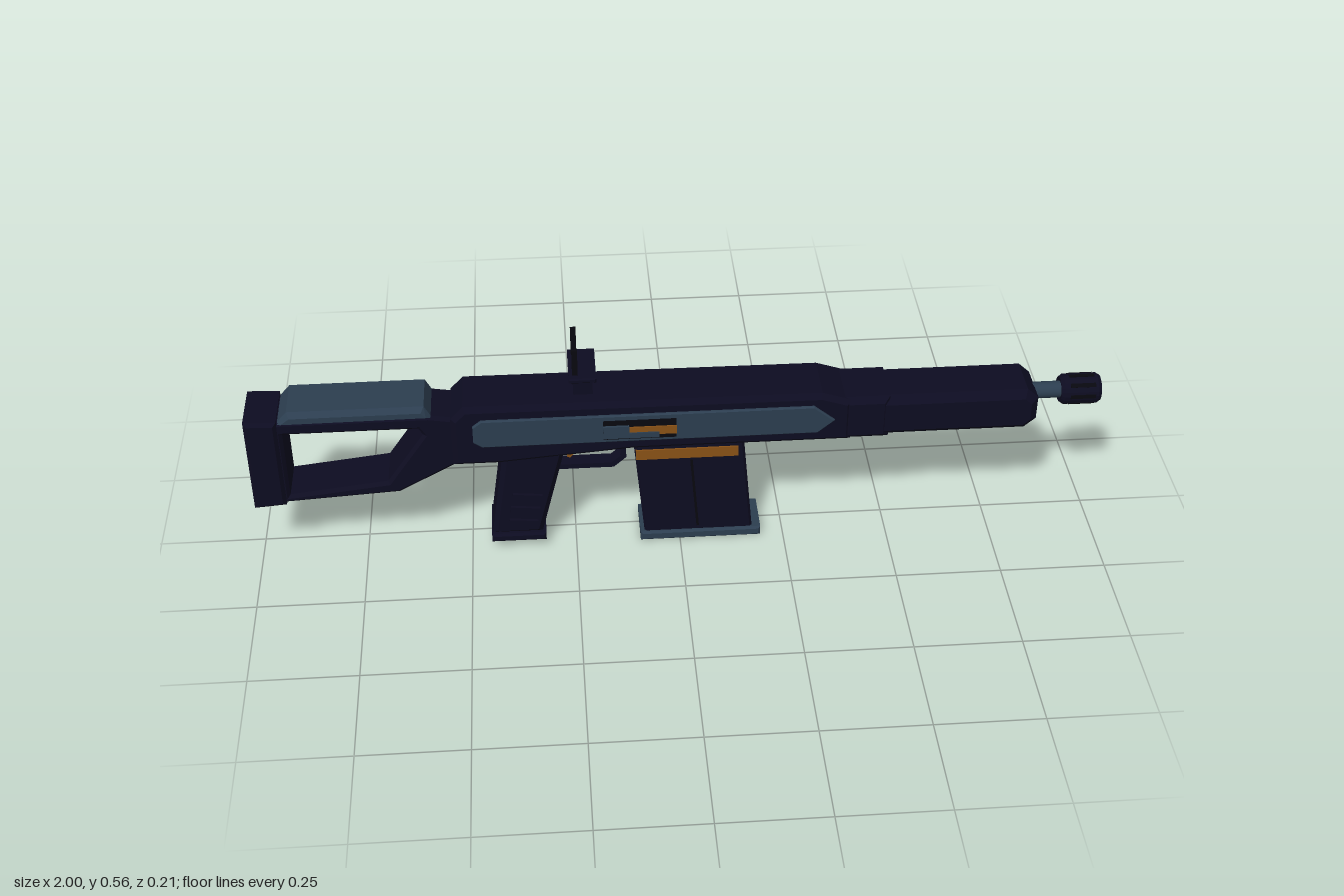
import * as THREE from 'three';

const mat = (name, color) => {
  const m = new THREE.MeshStandardMaterial({ color });
  m.name = name;
  return m;
};

export function createModel() {
  const navy = mat('darkNavy', 0x0d0c21);
  const slate = mat('slate', 0x2c3e50);
  const orange = mat('orange', 0x8a5216);
  const black = mat('black', 0x08080f);

  const root = new THREE.Group();
  root.name = 'rifle';
  const g = new THREE.Group();
  g.name = 'rifleParts';
  g.position.z = 0.0165; // side knob shifts the centre line
  root.add(g);

  const add = (name, geo, material, x = 0, y = 0, z = 0) => {
    const m = new THREE.Mesh(geo, material);
    m.name = name;
    m.position.set(x, y, z);
    g.add(m);
    return m;
  };
  // Side profile in x/y, extruded to z0..z1 with chamfered edges
  const slab = (name, pts, z0, z1, bevel, material, hole) => {
    const shape = new THREE.Shape(pts.map(p => new THREE.Vector2(...p)));
    if (hole) shape.holes.push(new THREE.Path(hole.map(p => new THREE.Vector2(...p))));
    const geo = new THREE.ExtrudeGeometry(shape, {
      depth: z1 - z0 - 2 * bevel, bevelEnabled: bevel > 0, bevelSegments: 1,
      bevelSize: bevel, bevelThickness: bevel, bevelOffset: -bevel,
    });
    geo.translate(0, 0, z0 + bevel);
    return add(name, geo, material);
  };
  const box = (name, x0, x1, y0, y1, z0, z1, material) =>
    add(name, new THREE.BoxGeometry(x1 - x0, y1 - y0, z1 - z0), material,
      (x0 + x1) / 2, (y0 + y1) / 2, (z0 + z1) / 2);

  // Receiver and handguard
  slab('receiver', [[-0.53, 0.26], [-0.42, 0.26], [-0.11, 0.285], [0.4, 0.285], [0.4, 0.395],
    [0.33, 0.418], [-0.5, 0.422], [-0.53, 0.39]], -0.0735, 0.0735, 0.012, navy);
  slab('handguard', [[0.3, 0.288], [0.815, 0.288], [0.842, 0.312], [0.842, 0.372],
    [0.815, 0.397], [0.3, 0.397]], -0.07, 0.07, 0.018, navy);
  slab('handguardCollar', [[0.38, 0.285], [0.49, 0.285], [0.49, 0.4], [0.38, 0.4]],
    -0.072, 0.072, 0.014, navy);

  // Barrel and muzzle
  const rod = (name, r, x0, x1, material) => {
    const geo = new THREE.CylinderGeometry(r, r, x1 - x0, 20);
    geo.rotateZ(-Math.PI / 2);
    add(name, geo, material, (x0 + x1) / 2, 0.355, 0);
  };
  rod('barrel', 0.02, 0.8, 0.92, slate);
  const muzzle = new THREE.LatheGeometry([[0.014, -0.045], [0.03, -0.048], [0.036, -0.04],
    [0.036, 0.04], [0.031, 0.048], [0.014, 0.048], [0.014, 0.03], [0, 0.03]]
    .map(p => new THREE.Vector2(...p)), 20).toNonIndexed();
  muzzle.computeVertexNormals();
  muzzle.rotateZ(-Math.PI / 2);
  add('muzzle', muzzle, navy, 0.952, 0.355, 0);
  rod('boreDisc', 0.0138, 0.96, 0.986, slate);
  for (let i = 0; i < 8; i++) {
    const a = i * Math.PI / 4;
    const rib = add('muzzleRib', new THREE.BoxGeometry(0.06, 0.004, 0.01), black,
      0.955, 0.355 + Math.cos(a) * 0.035, Math.sin(a) * 0.035);
    rib.rotation.x = a;
  }

  // Skeleton stock
  slab('stockFrame', [[-0.96, 0.165], [-0.66, 0.183], [-0.5, 0.27], [-0.5, 0.385],
    [-0.58, 0.398], [-0.96, 0.398]], -0.062, 0.062, 0.008, navy,
    [[-0.915, 0.188], [-0.915, 0.362], [-0.605, 0.362], [-0.595, 0.345], [-0.685, 0.215]]);
  slab('buttPlate', [[-1, 0.16], [-0.925, 0.166], [-0.925, 0.402], [-1, 0.405]],
    -0.0715, 0.0715, 0.008, navy);
  slab('cheekPad', [[-0.93, 0.39], [-0.57, 0.39], [-0.588, 0.424], [-0.9, 0.424]],
    -0.066, 0.066, 0.012, slate);

  // Pistol grip
  slab('grip', [[-0.45, 0.04], [-0.33, 0.04], [-0.27, 0.28], [-0.415, 0.28]],
    -0.06, 0.06, 0.012, navy);
  slab('gripBase', [[-0.452, 0.02], [-0.322, 0.02], [-0.322, 0.042], [-0.452, 0.042]],
    -0.0635, 0.0635, 0.005, navy);
  for (const s of [-1, 1]) {
    for (let i = 0; i < 3; i++) {
      const y = 0.075 + i * 0.038;
      const rib = add('gripRib', new THREE.BoxGeometry(0.07, 0.022, 0.012), navy,
        -0.375 + i * 0.006, y, s * 0.061);
      rib.rotation.z = -0.1;
    }
  }

  // Trigger and guard
  slab('triggerGuard', [[-0.3, 0.198], [-0.155, 0.198], [-0.125, 0.225], [-0.125, 0.25],
    [-0.14, 0.29], [-0.155, 0.29], [-0.138, 0.248], [-0.138, 0.23], [-0.16, 0.211], [-0.3, 0.211]],
    -0.018, 0.018, 0, navy);
  slab('trigger', [[-0.265, 0.28], [-0.235, 0.28], [-0.24, 0.245], [-0.258, 0.225],
    [-0.265, 0.228], [-0.253, 0.25]], -0.01, 0.01, 0, orange);

  // Magazine
  slab('magazine', [[-0.085, 0.02], [0.175, 0.02], [0.15, 0.3], [-0.11, 0.3]],
    -0.052, 0.052, 0.006, navy);
  slab('magazineBase', [[-0.095, 0], [0.195, 0], [0.195, 0.025], [-0.095, 0.025]],
    -0.0585, 0.0585, 0.005, slate);
  for (const s of [-1, 1]) {
    box('magazineStripe', -0.104, 0.138, 0.243, 0.27, s * 0.053 - 0.003, s * 0.053 + 0.003, orange);
    const groove = add('magazineGroove', new THREE.BoxGeometry(0.006, 0.2, 0.002), black,
      0.035, 0.135, s * 0.052);
    groove.rotation.z = 0.08;
  }

  // Side panels
  const panel = [[-0.48, 0.33], [-0.46, 0.316], [0.32, 0.316], [0.36, 0.35], [0.31, 0.391],
    [-0.46, 0.391], [-0.48, 0.375]];
  slab('leftSidePanel', panel, 0.07, 0.08, 0.003, slate);
  slab('rightSidePanel', panel, -0.08, -0.07, 0.003, slate);

  // Ejection port and bolt
  box('ejectionPort', -0.18, -0.01, 0.326, 0.378, 0.077, 0.082, black);
  box('boltBar', -0.12, -0.01, 0.338, 0.36, 0.08, 0.085, orange);
  slab('portCover', [[-0.18, 0.332], [-0.05, 0.332], [-0.05, 0.346], [-0.12, 0.346],
    [-0.12, 0.365], [-0.18, 0.365]], 0.079, 0.088, 0, slate);

  // Charging handle, bolt release and selector on the far side
  box('handleSlide', -0.07, 0.03, 0.35, 0.38, -0.092, -0.076, slate);
  slab('handleKnob', [[-0.08, 0.345], [-0.045, 0.345], [-0.045, 0.384], [-0.08, 0.384]],
    -0.119, -0.082, 0.005, navy);
  box('boltRelease', 0.09, 0.125, 0.305, 0.34, -0.088, -0.074, slate);
  box('selector', -0.335, -0.265, 0.342, 0.362, -0.086, -0.077, orange);

  // Forked sight
  box('sightPost', -0.245, -0.2, 0.415, 0.477, -0.03, 0.03, navy);
  slab('sightPlate', [[-0.255, 0.474], [-0.192, 0.474], [-0.192, 0.486], [-0.255, 0.486]],
    -0.0635, 0.0635, 0.003, navy);
  for (const s of [-1, 1]) {
    const prong = add('sightProng', new THREE.BoxGeometry(0.013, 0.073, 0.01), black,
      -0.24, 0.519, s * 0.0435);
    prong.rotation.x = s * 0.06;
  }

  return root;
}
